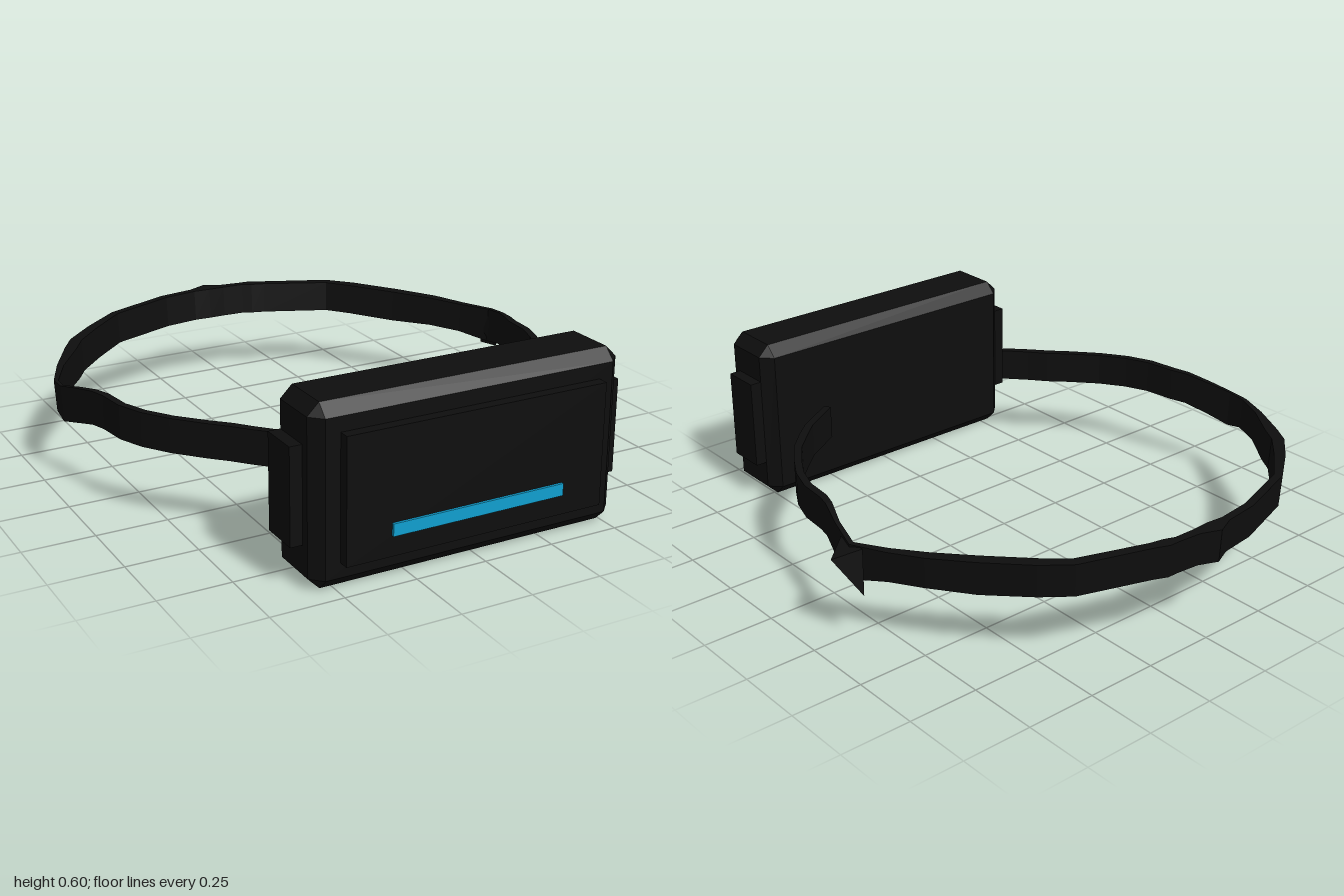
import * as THREE from 'three';
import { ConvexGeometry } from 'three/addons/geometries/ConvexGeometry.js';

const black = new THREE.MeshStandardMaterial({ color: 0x0e0e0e });
black.name = 'matteBlack';
const blue = new THREE.MeshStandardMaterial({ color: 0x10a0d0 });
blue.name = 'lightBlue';

const CX = -0.023; // the visor sits slightly off centre

function part(name, geometry, material, x = 0, y = 0, z = 0) {
  const mesh = new THREE.Mesh(geometry, material);
  mesh.name = name;
  mesh.position.set(x, y, z);
  return mesh;
}

// Box with every edge cut at 45 degrees
function chamferBox(w, h, d, c) {
  const pts = [];
  for (const sx of [-1, 1]) for (const sy of [-1, 1]) for (const sz of [-1, 1]) {
    for (let k = 0; k < 3; k++) {
      pts.push(new THREE.Vector3(
        sx * (w / 2 - (k === 0 ? 0 : c)),
        sy * (h / 2 - (k === 1 ? 0 : c)),
        sz * (d / 2 - (k === 2 ? 0 : c))));
    }
  }
  return new ConvexGeometry(pts);
}

// Strap path seen from above: x, z, thickness
const PATH = [
  [-0.48, 0.575, 0.026], [-0.55, 0.5, 0.028], [-0.6, 0.44, 0.03], [-0.66, 0.38, 0.028],
  [-0.74, 0.29, 0.026], [-0.8, 0.2, 0.026], [-0.837, 0.11, 0.026], [-0.852, 0, 0.026],
  [-0.87, -0.06, 0.022], [-0.895, -0.15, 0.018], [-0.917, -0.24, 0.018], [-0.913, -0.31, 0.022],
  [-0.855, -0.43, 0.03], [-0.765, -0.57, 0.05], [-0.72, -0.64, 0.05], [-0.62, -0.735, 0.045],
  [-0.49, -0.84, 0.035], [-0.25, -0.925, 0.035], [-0.12, -0.943, 0.035], [-0.055, -0.956, 0.07],
  [0.01, -0.943, 0.04], [0.09, -0.938, 0.035], [0.13, -0.93, 0.05], [0.18, -0.913, 0.04],
  [0.42, -0.825, 0.045], [0.5, -0.75, 0.05], [0.62, -0.61, 0.05], [0.72, -0.48, 0.045],
  [0.785, -0.37, 0.035], [0.845, -0.26, 0.025], [0.822, -0.15, 0.016], [0.785, -0.05, 0.022],
  [0.772, 0, 0.026], [0.764, 0.1, 0.026], [0.735, 0.19, 0.026], [0.69, 0.27, 0.026],
  [0.63, 0.36, 0.028], [0.56, 0.43, 0.03], [0.5, 0.485, 0.028], [0.36, 0.572, 0.026],
];

// Lower and upper edge of the strap by depth: z, bottom, top
const EDGES = [
  [1, 0.257, 0.375], [-0.05, 0.255, 0.375], [-0.15, 0.232, 0.358], [-0.25, 0.206, 0.338],
  [-0.32, 0.225, 0.335], [-0.45, 0.235, 0.343], [-0.6, 0.232, 0.35], [-0.8, 0.245, 0.36],
  [-1, 0.255, 0.373],
];

function edgesAt(z) {
  let i = 0;
  while (i < EDGES.length - 2 && z < EDGES[i + 1][0]) i++;
  const [a, b] = [EDGES[i], EDGES[i + 1]];
  const t = (z - a[0]) / (b[0] - a[0]);
  return [a[1] + t * (b[1] - a[1]), a[2] + t * (b[2] - a[2])];
}

// Sweep a thin rectangular section along the path
function strapGeometry() {
  const sections = PATH.map(([x, z, thick], i) => {
    const p = PATH[Math.max(i - 1, 0)];
    const n = PATH[Math.min(i + 1, PATH.length - 1)];
    const out = new THREE.Vector2(n[1] - p[1], p[0] - n[0]).normalize();
    const [low, high] = edgesAt(z);
    const lean = z < -0.2 ? 0.006 : 0;
    const corner = (o, y) => [x + out.x * o, y, z + out.y * o];
    const h = thick / 2;
    return [corner(h - lean, low), corner(h, high), corner(-h + lean, high), corner(-h, low)];
  });
  const pos = [];
  const quad = (a, b, c, d) => pos.push(...a, ...b, ...d, ...b, ...c, ...d);
  for (let i = 0; i < sections.length - 1; i++) {
    const [s, e] = [sections[i], sections[i + 1]];
    for (let k = 0; k < 4; k++) {
      const m = (k + 1) % 4;
      quad(s[k], s[m], e[m], e[k]);
    }
  }
  const [first, last] = [sections[0], sections[sections.length - 1]];
  quad(first[3], first[2], first[1], first[0]);
  quad(last[0], last[1], last[2], last[3]);
  const geo = new THREE.BufferGeometry();
  geo.setAttribute('position', new THREE.Float32BufferAttribute(pos, 3));
  geo.computeVertexNormals();
  return geo;
}

export function createModel() {
  const model = new THREE.Group();
  model.name = 'headset';

  // Visor housing, front panel and glowing strip
  const visor = new THREE.Group();
  visor.name = 'visor';
  visor.add(part('housing', chamferBox(1.11, 0.6, 0.25, 0.04), black, CX, 0.3, 0.825));
  visor.add(part('frontPanel', new THREE.BoxGeometry(0.93, 0.42, 0.06), black, CX, 0.3, 0.957));
  visor.add(part('lightStrip', new THREE.BoxGeometry(0.62, 0.042, 0.009), blue, CX, 0.181, 0.9925));

  // Strap mounts on both sides
  for (const side of [-1, 1]) {
    visor.add(part(side > 0 ? 'leftMount' : 'rightMount',
      new THREE.BoxGeometry(0.08, 0.325, 0.14), black, CX + side * 0.557, 0.302, 0.81));
  }
  model.add(visor);

  // Head strap with a pointed fold on its left side
  const strap = new THREE.Group();
  strap.name = 'strap';
  strap.add(part('band', strapGeometry(), black));
  const fold = [
    [0.84, 0.335, -0.31], [0.845, 0.335, -0.2], [0.92, 0.3, -0.25],
    [0.855, 0.18, -0.33], [0.838, 0.205, -0.2], [0.825, 0.25, -0.28],
  ].map((p) => new THREE.Vector3(...p));
  strap.add(part('strapFold', new ConvexGeometry(fold), black));
  model.add(strap);

  return model;
}
